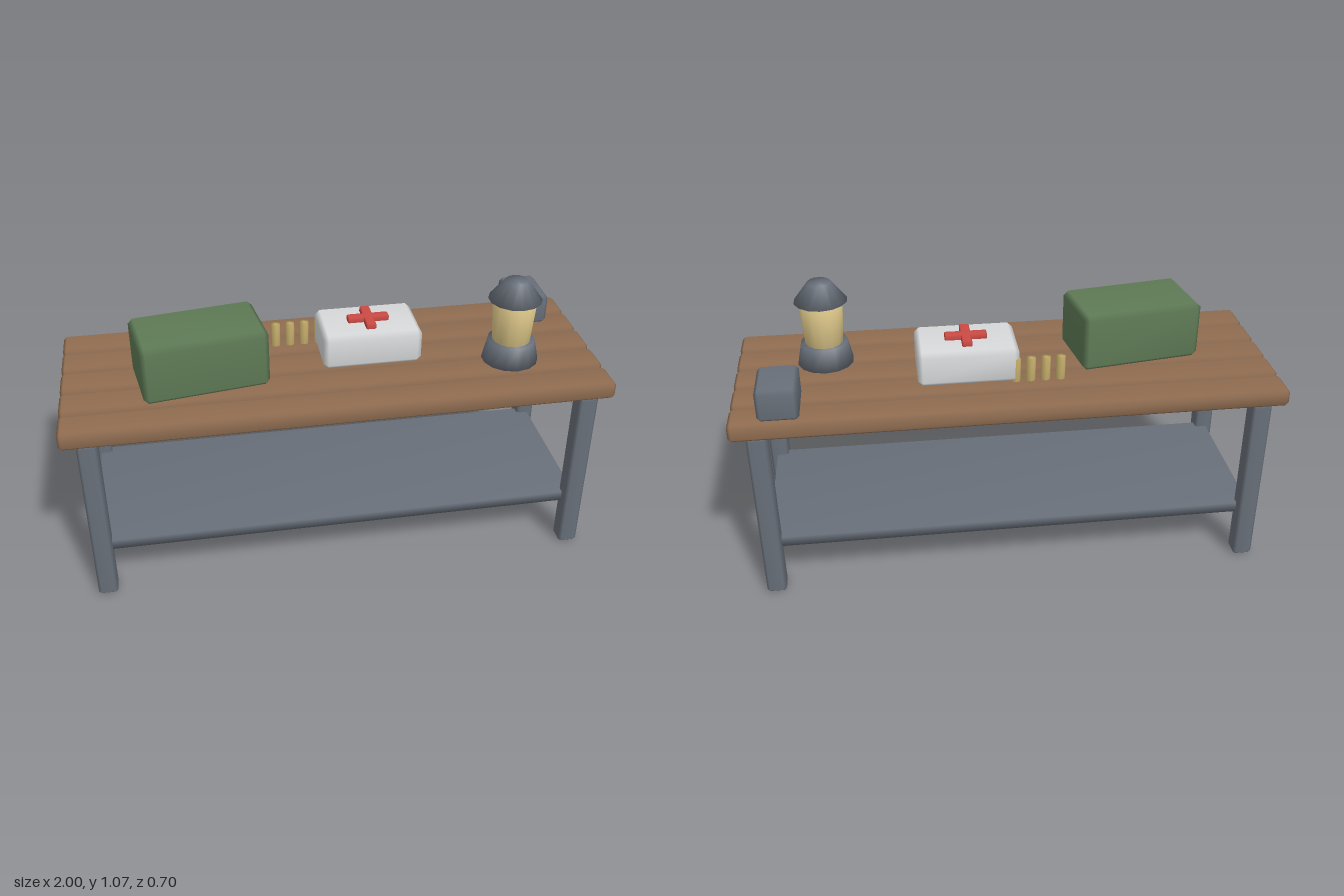
import * as THREE from 'three';
import { mergeVertices } from 'three/addons/utils/BufferGeometryUtils.js';
import { ConvexGeometry } from 'three/addons/geometries/ConvexGeometry.js';

const TOP = 0.743; // height of the table top

function material(name, color) {
  const m = new THREE.MeshStandardMaterial({ color });
  m.name = name;
  return m;
}

// Shared vertices give soft shading across every edge
function soften(geometry) {
  geometry.deleteAttribute('normal');
  if (geometry.attributes.uv) geometry.deleteAttribute('uv');
  const merged = mergeVertices(geometry, 1e-5);
  merged.computeVertexNormals();
  return merged;
}

// Box with chamfered edges and cut corners
function chamferBox(w, h, d, b) {
  const points = [];
  for (const x of [-1, 1]) for (const y of [-1, 1]) for (const z of [-1, 1]) {
    for (let axis = 0; axis < 3; axis++) {
      points.push(new THREE.Vector3(
        x * (w / 2 - (axis === 0 ? 0 : b)),
        y * (h / 2 - (axis === 1 ? 0 : b)),
        z * (d / 2 - (axis === 2 ? 0 : b))));
    }
  }
  return soften(new ConvexGeometry(points));
}

export function createModel() {
  const model = new THREE.Group();
  model.name = 'suppliesTable';

  const wood = material('wood', 0x8f6c50);
  const metal = material('metal', 0x686f79);
  const canvas = material('greenCanvas', 0x5e7a55);
  const white = material('whiteCase', 0xd8d9da);
  const red = material('red', 0xcc4a44);
  const glow = material('lampGlass', 0xdcc688);
  const brass = material('brass', 0xc6ae6c);

  function add(name, geometry, mat, x, y, z, parent = model) {
    const mesh = new THREE.Mesh(geometry, mat);
    mesh.name = name;
    mesh.position.set(x, y, z);
    parent.add(mesh);
    return mesh;
  }

  // Table top planks
  const plank = chamferBox(2, 0.066, 0.126, 0.012);
  for (let i = -2; i <= 2; i++) add('plank', plank, wood, 0, TOP - 0.033, i * 0.143);

  // Legs
  const leg = chamferBox(0.072, 0.68, 0.074, 0.01);
  for (const x of [-1, 1]) for (const z of [-1, 1]) {
    add('leg', leg, metal, x * 0.906, 0.34, z * 0.303);
  }

  // Lower shelf
  add('shelf', soften(new THREE.BoxGeometry(1.83, 0.04, 0.6)), metal, 0, 0.205, 0);

  // Green pack, turned slightly on the table
  const pack = add('greenPack', chamferBox(0.46, 0.22, 0.27, 0.018), canvas, -0.49, TOP + 0.11, 0.05);
  pack.rotation.y = 0.15;

  // First aid case with a raised cross
  const aid = new THREE.Group();
  aid.name = 'firstAidCase';
  aid.position.set(0.148, TOP, -0.04);
  model.add(aid);
  add('caseBody', chamferBox(0.37, 0.134, 0.245, 0.018), white, 0, 0.067, 0, aid);
  add('crossBarAcross', chamferBox(0.155, 0.026, 0.037, 0.004), red, 0, 0.141, 0, aid);
  add('crossBarAlong', chamferBox(0.037, 0.026, 0.15, 0.004), red, 0, 0.141, 0, aid);

  // Lantern: tapered base, flared glass, sloped cap
  const lantern = new THREE.Group();
  lantern.name = 'lantern';
  lantern.position.set(0.668, TOP, 0.1);
  model.add(lantern);
  const sections = [
    ['lanternBase', 0.088, 0.106, 0, 0.083, metal],
    ['lanternGlass', 0.083, 0.071, 0.083, 0.249, glow],
    ['lanternCap', 0.043, 0.099, 0.249, 0.323, metal],
  ];
  for (const [name, rTop, rBottom, y0, y1, mat] of sections) {
    const geometry = soften(new THREE.CylinderGeometry(rTop, rBottom, y1 - y0, 14));
    add(name, geometry, mat, 0, (y0 + y1) / 2, 0, lantern);
  }

  // Small metal box
  add('smallBox', chamferBox(0.145, 0.118, 0.2, 0.013), metal, 0.823, TOP + 0.059, -0.235);

  // Row of little brass cylinders
  const cylinder = soften(new THREE.CylinderGeometry(0.018, 0.018, 0.09, 8));
  for (let i = 0; i < 4; i++) add('brassCylinder', cylinder, brass, -0.19 + i * 0.055, TOP + 0.045, -0.143);

  return model;
}
